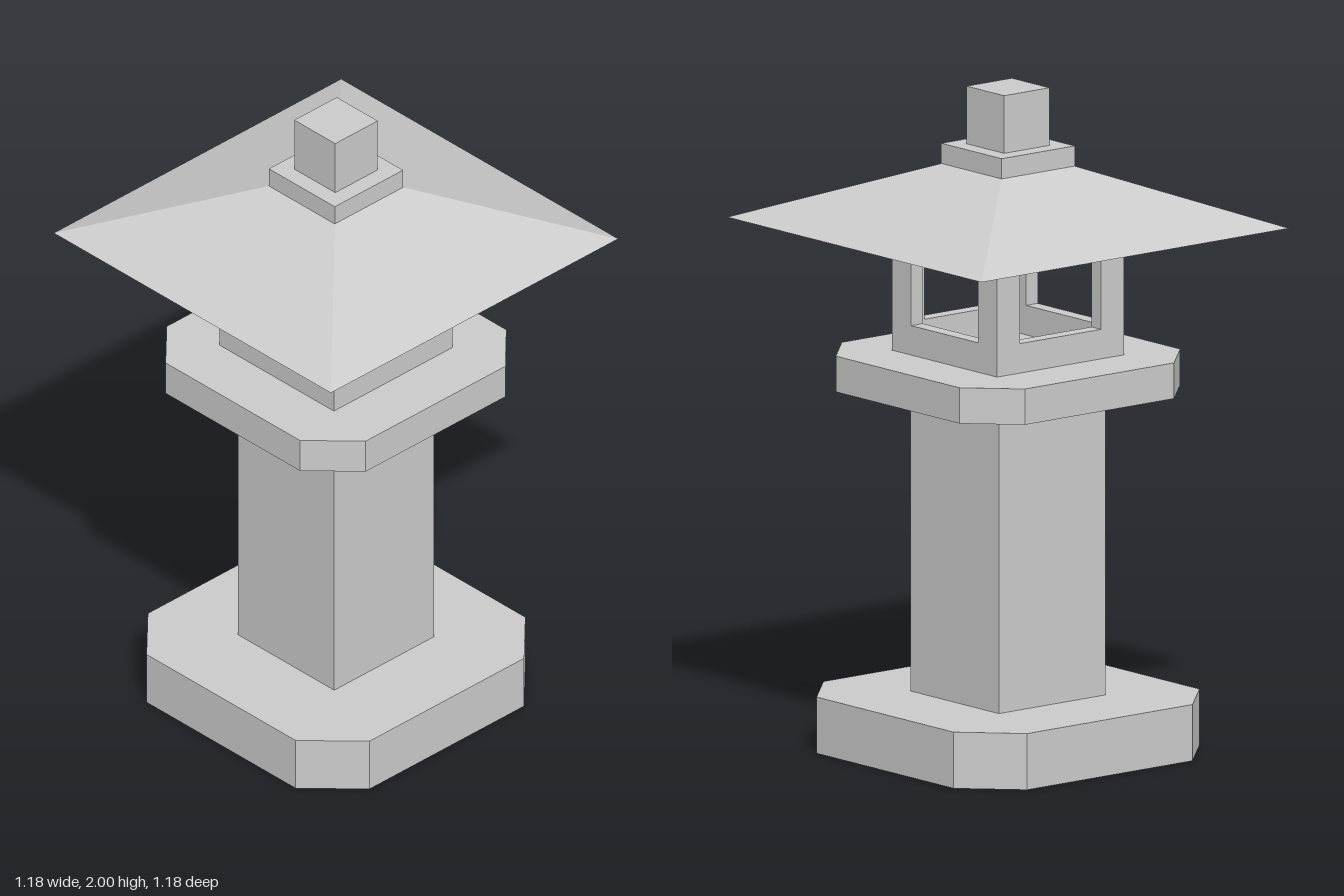
import * as THREE from 'three';

const stone = new THREE.MeshStandardMaterial({ color: 0xcccccc, flatShading: true });
const shell = new THREE.MeshStandardMaterial({ color: 0xcccccc, flatShading: true, side: THREE.DoubleSide });

const outline = (pts) => new THREE.Shape(pts.map(([x, y]) => new THREE.Vector2(x, y)));
const square = (h) => outline([[h, h], [-h, h], [-h, -h], [h, -h]]);

// Square of half width h with its corners cut; f is half the straight side
const cutSquare = (h, f) => outline([
  [h, -f], [h, f], [f, h], [-f, h], [-h, f], [-h, -f], [-f, -h], [f, -h],
]);

// Plan outline raised from y0 to y1
function prism(shape, y0, y1) {
  const geo = new THREE.ExtrudeGeometry(shape, { depth: y1 - y0, bevelEnabled: false });
  return geo.rotateX(-Math.PI / 2).translate(0, y0, 0);
}

// Only the side walls of a prism, open at top and bottom
function sideWalls(shape, y0, y1) {
  const full = prism(shape, y0, y1);
  const { start, count } = full.groups[1];
  const positions = full.attributes.position.array.slice(start * 3, (start + count) * 3);
  const geo = new THREE.BufferGeometry();
  geo.setAttribute('position', new THREE.BufferAttribute(positions, 3));
  geo.computeVertexNormals();
  return geo;
}

const box = (h, y0, y1) =>
  new THREE.BoxGeometry(2 * h, y1 - y0, 2 * h).translate(0, (y0 + y1) / 2, 0);

export function createModel() {
  const lantern = new THREE.Group();
  lantern.name = 'stoneLantern';

  const add = (name, geometry, material = stone, parent = lantern) => {
    const mesh = new THREE.Mesh(geometry, material);
    mesh.name = name;
    parent.add(mesh);
    return mesh;
  };

  // Base: hollow underneath, with an opening into the shaft
  const shaftHalf = 0.204, baseTop = 0.17;
  const base = new THREE.Group();
  base.name = 'base';
  lantern.add(base);
  add('baseWalls', sideWalls(cutSquare(0.471, 0.317), 0, baseTop), shell, base);
  const topShape = cutSquare(0.471, 0.317);
  topShape.holes.push(square(shaftHalf));
  add('baseTop', new THREE.ShapeGeometry(topShape).rotateX(-Math.PI / 2).translate(0, baseTop, 0), shell, base);

  // Hollow square shaft and the platform it carries
  add('shaft', sideWalls(square(shaftHalf), baseTop, 1.09), shell);
  add('platform', prism(cutSquare(0.423, 0.286), 1.09, 1.198));

  // Light chamber: a low sill ring with an L-shaped post on each corner
  const outer = 0.243, inner = 0.198, opening = 0.155;
  const chamber = new THREE.Group();
  chamber.name = 'lightChamber';
  lantern.add(chamber);
  const sill = square(outer);
  sill.holes.push(square(inner));
  add('sill', prism(sill, 1.198, 1.287), stone, chamber);
  const corner = outline([
    [outer, opening], [outer, outer], [opening, outer],
    [opening, inner], [inner, inner], [inner, opening],
  ]);
  const postGeometry = prism(corner, 1.287, 1.59);
  for (let i = 0; i < 4; i++) {
    add('cornerPost', postGeometry, stone, chamber).rotation.y = i * Math.PI / 2;
  }

  // Sloping four-sided roof with a sharp eave
  const roof = new THREE.CylinderGeometry(0.14 * Math.SQRT2, 0.589 * Math.SQRT2, 0.175, 4);
  add('roof', roof.rotateY(Math.PI / 4).translate(0, 1.6775, 0));

  // Finial
  add('finialBase', box(0.14, 1.765, 1.826));
  add('finial', box(0.087, 1.826, 2));

  return lantern;
}
